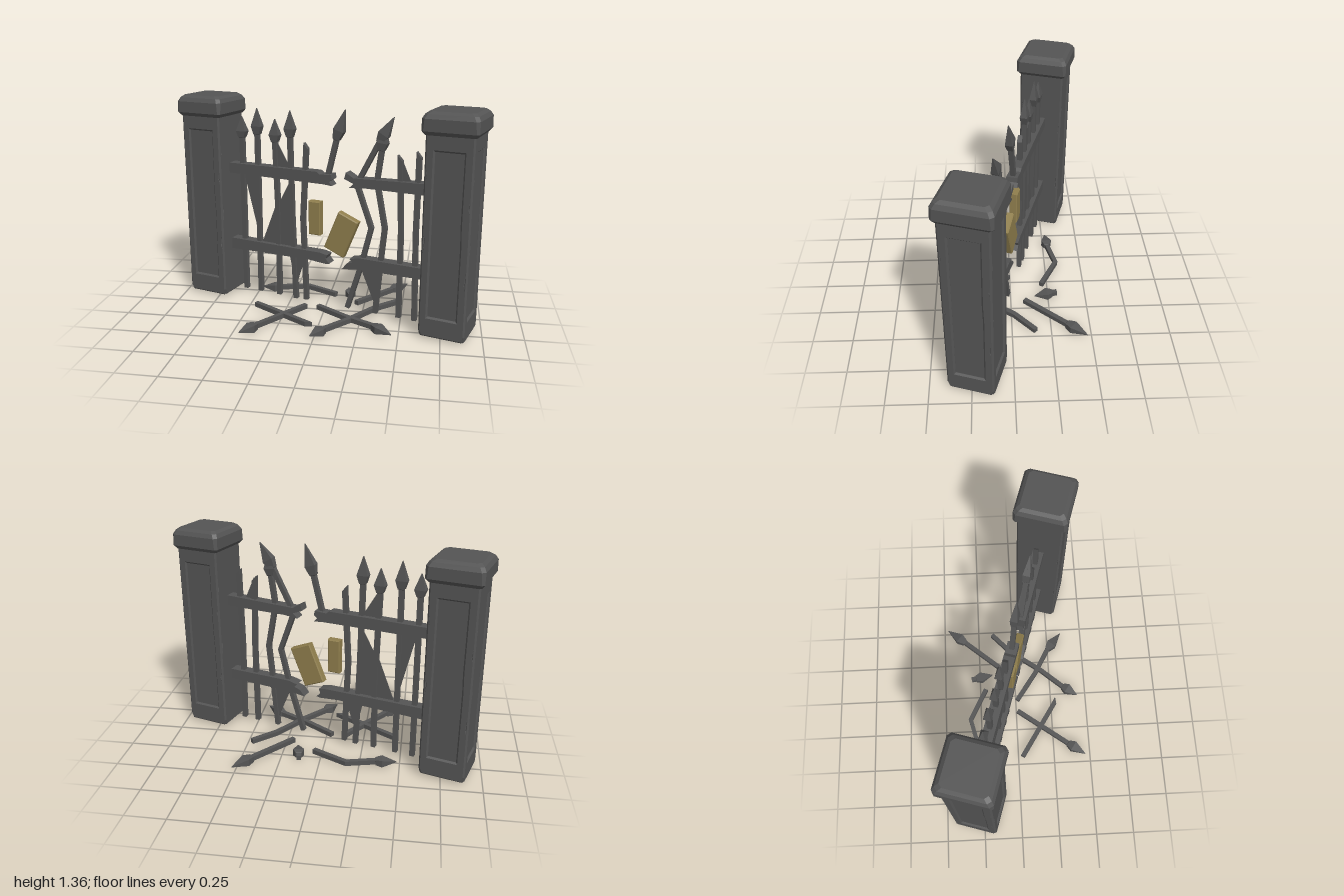
import * as THREE from 'three';

const stone = new THREE.MeshStandardMaterial({ color: 0x545454, flatShading: true });
stone.name = 'darkStone';
const plateGrey = new THREE.MeshStandardMaterial({ color: 0x545454, flatShading: true, side: THREE.DoubleSide });
plateGrey.name = 'darkPlate';
const brass = new THREE.MeshStandardMaterial({ color: 0x8f7e4d, flatShading: true });
brass.name = 'dullBrass';

const TURN = 0.297;               // the gate stands askew about y
const K = 1 / Math.cos(TURN);     // front width to length along the gate

function add(parent, name, geometry, material = stone) {
  const mesh = new THREE.Mesh(geometry, material);
  mesh.name = name;
  parent.add(mesh);
  return mesh;
}

// Skin over equal-sized rings, each counter-clockwise about the path, closed at both ends
function loft(rings) {
  const n = rings[0].length, last = (rings.length - 1) * n, index = [];
  for (let i = 0; i < rings.length - 1; i++) {
    for (let j = 0; j < n; j++) {
      const a = i * n + j, b = i * n + (j + 1) % n;
      index.push(a, b, b + n, a, b + n, a + n);
    }
  }
  for (let j = 1; j < n - 1; j++) index.push(0, j + 1, j, last, last + j, last + j + 1);
  const geometry = new THREE.BufferGeometry().setFromPoints(rings.flat());
  geometry.setIndex(index);
  geometry.computeVertexNormals();
  return geometry;
}

function polygon(points) {
  return new THREE.Shape(points.map(([x, y]) => new THREE.Vector2(x, y)));
}

// Square iron bar along a path in the xy plane, with an optional spear tip or a splintered end
function barGeometry(path, tip, r = 0.015) {
  const stops = path.map(([x, y]) => [new THREE.Vector2(x, y), r, r]);
  if (tip) {
    const base = stops[stops.length - 1][0], end = new THREE.Vector2(...tip);
    stops.push([base.clone().lerp(end, 0.02), 0.02, 0.018]);
    stops.push([base.clone().lerp(end, 0.32), 0.035, 0.023]);
    stops.push([end, 0.002, 0.002]);
  }
  const rings = stops.map(([p, rn, rz], i) => {
    const from = stops[Math.max(i - 1, 0)][0], to = stops[Math.min(i + 1, stops.length - 1)][0];
    const t = to.clone().sub(from).normalize();
    const jag = !tip && i === stops.length - 1 ? 0.035 : 0;
    return [[-1, 1], [-1, -1], [1, -1], [1, 1]].map(([a, b]) => {
      const along = a > 0 ? jag : 0;
      return new THREE.Vector3(p.x - t.y * a * rn + t.x * along, p.y + t.x * a * rn + t.y * along, b * rz);
    });
  });
  return loft(rings);
}

// Bevelled pillar face with chipped edges and, if asked, a sunken panel
function pillarFace(withPanel) {
  const w = 0.132, shape = polygon([
    [-w + 0.012, 0.025], [w - 0.012, 0.025], [w, 0.055], [w, 0.34], [w - 0.011, 0.38], [w - 0.003, 0.45], [w, 0.46],
    [w, 0.80], [w - 0.008, 0.83], [w, 0.9], [w, 1.245], [-w, 1.245], [-w, 1.05], [-w + 0.009, 1.0], [-w, 0.96],
    [-w, 0.66], [-w + 0.012, 0.62], [-w + 0.004, 0.55], [-w, 0.53], [-w, 0.055],
  ]);
  if (withPanel) shape.holes.push(polygon([[-0.098, 0.135], [-0.094, 1.15], [0.094, 1.15], [0.092, 0.72], [0.096, 0.6], [0.094, 0.135]]));
  const geometry = new THREE.ExtrudeGeometry(shape, {
    depth: 0.002, bevelThickness: 0.01, bevelSize: 0.01, bevelSegments: 1,
  });
  return geometry.translate(0, 0, 0.13);
}

// Square ring with cut corners
function capRing(y, h, cut) {
  const c = h - cut;
  return [[h, c], [h, -c], [c, -h], [-c, -h], [-h, -c], [-h, c], [-c, h], [c, h]]
    .map(([x, z]) => new THREE.Vector3(x, y, z));
}

function pillar(name, innerSide) {
  const group = new THREE.Group();
  group.name = name;
  add(group, 'pillarCore', new THREE.BoxGeometry(0.26, 1.21, 0.26).translate(0, 0.635, 0));
  for (let k = 0; k < 4; k++) {
    add(group, 'pillarFace', pillarFace(k !== innerSide)).rotation.y = k * Math.PI / 2;
  }
  add(group, 'pillarCap', loft([
    capRing(1.232, 0.146, 0.01), capRing(1.255, 0.164, 0.014), capRing(1.325, 0.164, 0.02),
    capRing(1.35, 0.15, 0.02), capRing(1.365, 0.13, 0.02),
  ]));
  return group;
}

export function createModel() {
  const model = new THREE.Group();
  model.name = 'brokenGate';
  const gate = new THREE.Group();
  gate.name = 'standingGate';
  gate.position.z = -0.027;
  gate.rotation.y = -TURN;
  model.add(gate);

  // Pillars
  const left = pillar('rightPillar', 1), right = pillar('leftPillar', 3);
  left.position.x = -0.829;
  right.position.x = 0.829;
  gate.add(left, right);

  const flat = (points) => polygon(points.map(([x, y]) => [x * K, y]));
  const slab = (points, depth) => new THREE.ExtrudeGeometry(flat(points), { depth, bevelEnabled: false })
    .translate(0, 0, -depth / 2);

  // Snapped rails
  [
    [[-0.67, 0.855], [0.0, 0.85], [0.06, 0.845], [0.04, 0.87], [0.06, 0.885], [0.055, 0.915], [-0.02, 0.91], [-0.04, 0.925], [-0.67, 0.922]],
    [[0.67, 0.855], [0.26, 0.855], [0.17, 0.845], [0.2, 0.875], [0.14, 0.9], [0.15, 0.94], [0.2, 0.91], [0.67, 0.925]],
    [[-0.67, 0.325], [-0.1, 0.335], [0.02, 0.325], [0.045, 0.33], [0.02, 0.36], [0.03, 0.385], [-0.02, 0.395], [-0.67, 0.4]],
    [[0.67, 0.33], [0.25, 0.325], [0.13, 0.31], [0.16, 0.35], [0.2, 0.365], [0.18, 0.385], [0.24, 0.4], [0.67, 0.4]],
  ].forEach((outline) => add(gate, 'rail', slab(outline, 0.07)));

  // Upright, bent and broken bars
  [
    [[[-0.575, 0.04], [-0.575, 1.09]], [-0.575, 1.23]],
    [[[-0.465, 0.04], [-0.465, 1.12]], [-0.465, 1.29]],
    [[[-0.325, 0.04], [-0.325, 0.6], [-0.34, 1.08]], [-0.34, 1.23]],
    [[[-0.205, 0.035], [-0.225, 0.6], [-0.235, 1.12]], [-0.235, 1.29]],
    [[[-0.13, 0.04], [-0.15, 0.6], [-0.125, 1.06]], null],
    [[[0.015, 0.88], [0.075, 1.13]], [0.13, 1.32]],
    [[[0.155, 0.04], [0.24, 0.33], [0.305, 0.6], [0.215, 0.85], [0.235, 0.92], [0.345, 1.14]], [0.43, 1.295]],
    [[[0.34, 0.04], [0.37, 0.4], [0.39, 0.61], [0.335, 0.9], [0.36, 1.09]], [0.375, 1.24]],
    [[[0.49, 0.04], [0.49, 0.6], [0.475, 1.04]], null],
    [[[0.59, 0.04], [0.58, 0.6], [0.585, 1.07]], null],
  ].forEach(([path, tip]) => {
    const scaled = path.map(([x, y]) => [x * K, y]);
    add(gate, tip ? 'spearBar' : 'brokenBar', barGeometry(scaled, tip && [tip[0] * K, tip[1]]));
  });

  // Torn sheet slivers between the bars
  [
    [[-0.57, 0.87], [-0.455, 0.38], [-0.455, 0.87]],
    [[-0.45, 0.38], [-0.31, 0.38], [-0.32, 0.72]],
    [[-0.32, 0.68], [-0.31, 0.38], [-0.22, 0.38], [-0.215, 0.88]],
    [[-0.33, 0.9], [-0.235, 0.92], [-0.33, 1.09]],
    [[-0.25, 0.34], [-0.205, 0.12], [-0.135, 0.34]],
    [[0.235, 0.34], [0.35, 0.06], [0.36, 0.34]],
    [[0.47, 0.9], [0.545, 0.91], [0.48, 1.06]],
  ].forEach((outline) => add(gate, 'tornSheet', slab(outline, 0.006), plateGrey));

  // Lock blocks hanging in the gap
  const bevel = { bevelThickness: 0.006, bevelSize: 0.006, bevelSegments: 1 };
  const block = (w, h, d) => new THREE.ExtrudeGeometry(polygon([
    [-w / 2 + 0.006, -h / 2 + 0.006], [w / 2 - 0.006, -h / 2 + 0.006],
    [w / 2 - 0.006, h / 2 - 0.006], [-w / 2 + 0.006, h / 2 - 0.006],
  ]), { depth: d - 0.012, ...bevel }).translate(0, 0, -d / 2 + 0.006);
  add(gate, 'smallLockBlock', block(0.082, 0.222, 0.05), brass).position.set(-0.06, 0.62, 0.012);
  const large = add(gate, 'largeLockBlock', block(0.145, 0.265, 0.052), brass);
  large.position.set(0.12, 0.53, 0);
  large.rotation.z = -0.39;

  // Fallen bars on the ground, given as x and z
  const debris = new THREE.Group();
  debris.name = 'fallenBars';
  debris.position.y = 0.024;
  debris.rotation.x = -Math.PI / 2;
  model.add(debris);
  [
    [[[0.05, -0.21], [-0.17, -0.325], [-0.35, -0.28]], [-0.48, -0.27]],
    [[[0.2, -0.09], [0.42, -0.35]], [0.52, -0.472]],
    [[[0.47, -0.15], [0.33, -0.02], [0.18, 0.19], [0.05, 0.34]], [-0.02, 0.44]],
    [[[-0.04, 0.01], [0.16, 0.15], [0.34, 0.25]], [0.46, 0.35]],
    [[[-0.45, 0.03], [-0.07, 0.275]], null],
    [[[-0.12, 0.01], [-0.37, 0.35]], [-0.45, 0.465]],
    [[[0.13, -0.31], [0.135, -0.28]], [0.16, -0.16]],
  ].forEach(([path, tip]) => {
    const geometry = barGeometry(path.map(([x, z]) => [x, -z]), tip && [tip[0], -tip[1]]);
    add(debris, tip ? 'fallenSpear' : 'fallenBar', geometry);
  });

  return model;
}
